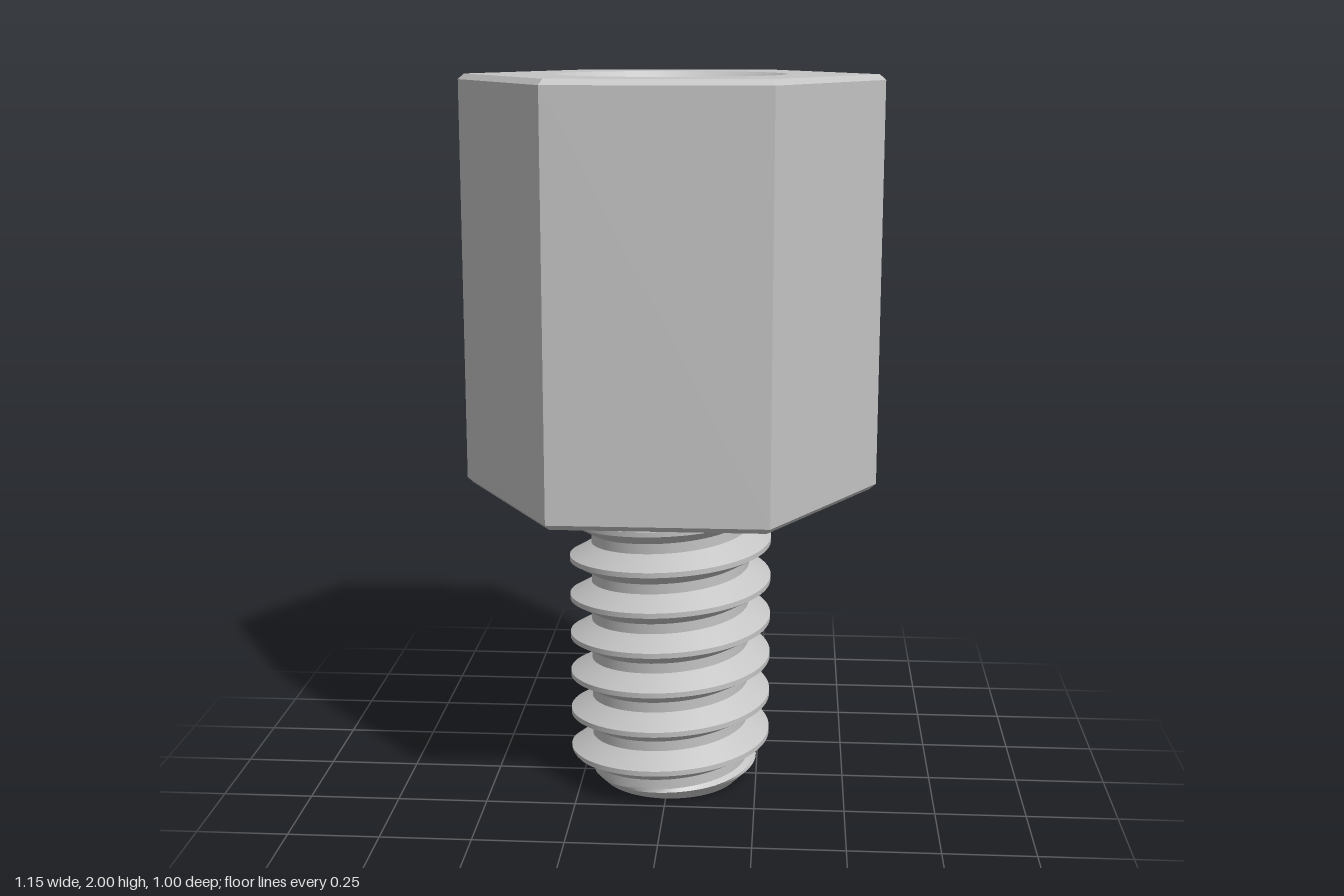
import * as THREE from 'three';
import { toCreasedNormals } from 'three/addons/utils/BufferGeometryUtils.js';

const PITCH = 0.1143, MAJOR = 0.2857, SHOULDER = 0.86, FLOOR = 1.143;
const HEX = 0.577, BEVEL = 0.017, SEGMENTS = 72;

// Trapezoid thread radius at a height measured from the crest, in pitches
function threadRadius(u, root) {
  const d = Math.abs(u - Math.round(u));
  const k = THREE.MathUtils.clamp((d - 1 / 16) / (5 / 16), 0, 1);
  return MAJOR + (root - MAJOR) * k;
}

// Right-handed helical surface between y0 and y1; limit() trims it with a cone
function helixSurface({ y0, y1, phase, root, limit, inward }) {
  // row heights follow the corners of the thread profile
  const corners = [-1 / 16, 1 / 16, 3 / 8, 5 / 8, 15 / 16];
  const rows = [];
  const first = Math.floor((y0 - phase) / PITCH) - 2;
  const last = Math.ceil((y1 - phase) / PITCH) + 1;
  for (let n = first; n <= last; n++) {
    for (let c = 0; c < 4; c++) {
      for (let s = 0; s < 4; s++) rows.push(n + corners[c] + (corners[c + 1] - corners[c]) * s / 4);
    }
  }
  const point = (i, j) => {
    const turn = i / SEGMENTS, t = turn * Math.PI * 2;
    const y = THREE.MathUtils.clamp(phase + PITCH * (rows[j] + turn), y0, y1);
    const r = limit(threadRadius((y - phase) / PITCH - turn, root), y);
    return new THREE.Vector3(r * Math.cos(t), y, -r * Math.sin(t));
  };
  const out = [];
  const tri = (a, b, c) => {
    const area = b.clone().sub(a).cross(c.clone().sub(a)).length();
    if (area < 1e-9) return;
    for (const p of inward ? [a, c, b] : [a, b, c]) out.push(p.x, p.y, p.z);
  };
  for (let i = 0; i < SEGMENTS; i++) {
    for (let j = 0; j < rows.length - 1; j++) {
      const a = point(i, j), b = point(i + 1, j), c = point(i + 1, j + 1), d = point(i, j + 1);
      tri(a, b, c);
      tri(a, c, d);
    }
  }
  const geometry = new THREE.BufferGeometry();
  geometry.setAttribute('position', new THREE.Float32BufferAttribute(out, 3));
  // enlarged while creasing so that close vertices stay distinct
  geometry.scale(100, 100, 100);
  return toCreasedNormals(geometry, 0.45).scale(0.01, 0.01, 0.01);
}

export function createModel() {
  const group = new THREE.Group();
  const steel = new THREE.MeshStandardMaterial({ color: 0xc4c4c4 });
  steel.name = 'steel';
  const add = (name, geometry) => {
    const mesh = new THREE.Mesh(geometry, steel);
    mesh.name = name;
    group.add(mesh);
    return mesh;
  };

  // Hexagonal sides with bevelled rims and the underside
  const profile = [
    [0.1, SHOULDER], [HEX - BEVEL, SHOULDER], [HEX, SHOULDER + 0.015],
    [HEX, 1.985], [HEX - BEVEL, 2],
  ].map(([r, y]) => new THREE.Vector2(r, y));
  const sides = new THREE.LatheGeometry(profile, 6, Math.PI / 2).toNonIndexed();
  sides.computeVertexNormals();
  add('hexBody', sides);

  // Top face with the round opening
  const top = new THREE.Shape();
  for (let i = 0; i < 6; i++) {
    const a = i * Math.PI / 3, r = HEX - BEVEL;
    top[i ? 'lineTo' : 'moveTo'](r * Math.cos(a), r * Math.sin(a));
  }
  top.closePath();
  top.holes.push(new THREE.Path().absarc(0, 0, 0.313, 0, Math.PI * 2, true));
  add('topFace', new THREE.ShapeGeometry(top, SEGMENTS / 2).rotateX(-Math.PI / 2).translate(0, 2, 0));

  // Threaded socket with a countersunk mouth and flat floor
  add('socketThread', helixSurface({
    y0: FLOOR, y1: 2, phase: 1.905, root: 0.234, inward: true,
    limit: (r, y) => Math.max(r, 0.313 - (2 - y)),
  }));
  add('socketFloor', new THREE.CircleGeometry(0.29, SEGMENTS).rotateX(-Math.PI / 2).translate(0, FLOOR, 0));

  // Threaded stud with a chamfered tip
  add('studThread', helixSurface({
    y0: 0, y1: SHOULDER + 0.005, phase: 0.711, root: 0.224, inward: false,
    limit: (r, y) => Math.min(r, 0.198 + y),
  }));
  add('studTip', new THREE.CircleGeometry(0.198, SEGMENTS).rotateX(Math.PI / 2));

  return group;
}
